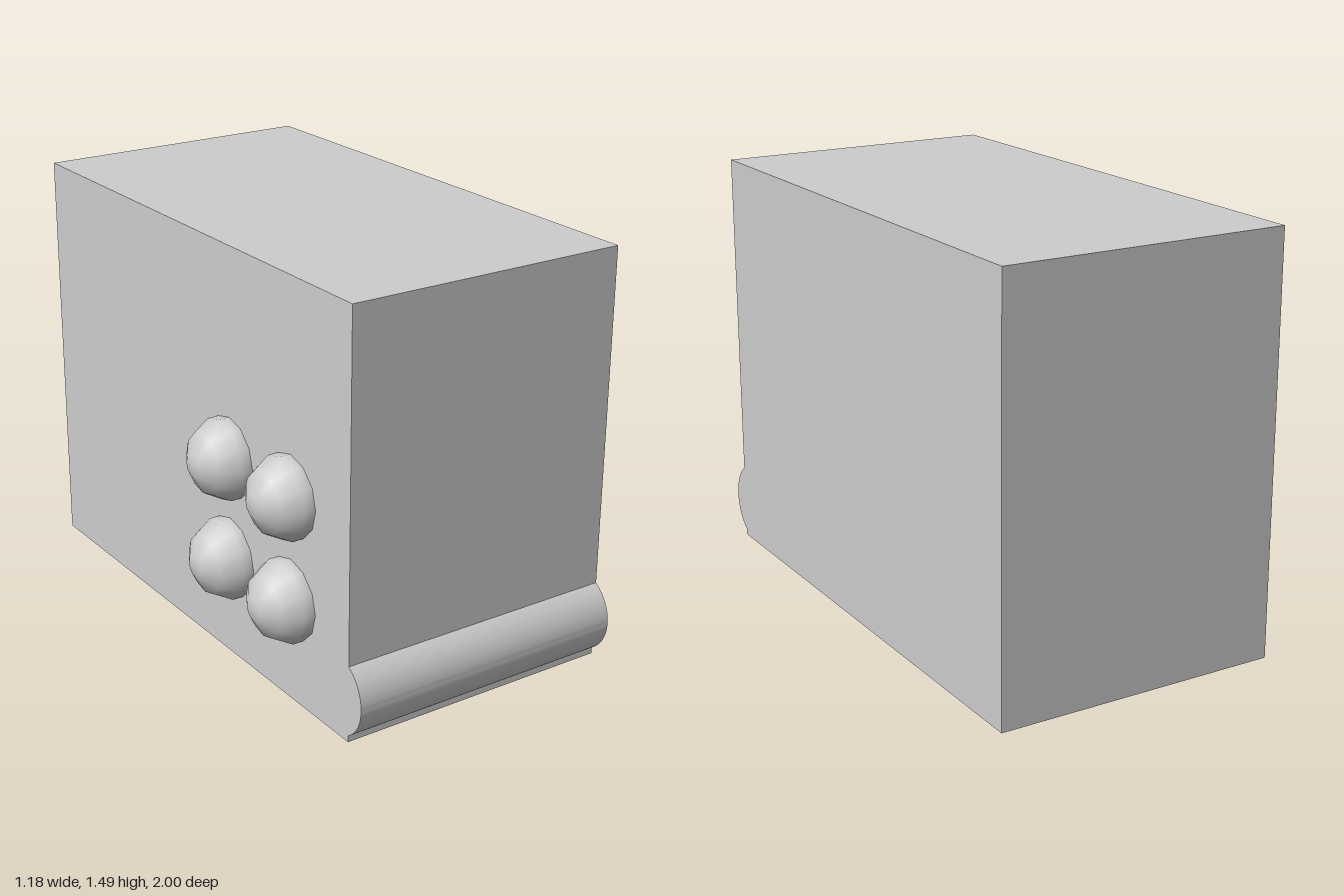
import * as THREE from 'three';
import { toCreasedNormals } from 'three/addons/utils/BufferGeometryUtils.js';

const LEFT = -0.45, RIGHT = 0.59, WIDTH = RIGHT - LEFT;
const BACK = -1, FRONT = 0.93, HEIGHT = 1.49;

export function createModel() {
  const model = new THREE.Group();
  model.name = 'cabinet';
  const grey = new THREE.MeshStandardMaterial({ color: 0xcccccc });
  grey.name = 'light grey';

  const add = (name, geometry, x, y, z) => {
    const mesh = new THREE.Mesh(geometry, grey);
    mesh.name = name;
    mesh.position.set(x, y, z);
    model.add(mesh);
  };

  // Main box
  add('body', new THREE.BoxGeometry(WIDTH, HEIGHT, FRONT - BACK),
    (LEFT + RIGHT) / 2, HEIGHT / 2, (FRONT + BACK) / 2);

  // Rounded bar along the lower front: a circle segment standing out of the box
  const radius = 0.15, centreZ = 0.85;
  const half = Math.acos((FRONT - centreZ) / radius);
  const segment = new THREE.Shape().absarc(0, 0, radius, -half, half, false);
  const bar = new THREE.ExtrudeGeometry(segment, { depth: WIDTH, bevelEnabled: false, curveSegments: 32 });
  bar.rotateY(-Math.PI / 2);
  add('frontBar', toCreasedNormals(bar, Math.PI / 6), RIGHT, radius, centreZ);

  // Four low-poly domes on one side, with a small flat tip
  const profile = [new THREE.Vector2(radius * Math.cos(Math.PI / 12), 0)];
  for (const degrees of [15, 45, 75]) {
    const a = THREE.MathUtils.degToRad(degrees);
    profile.push(new THREE.Vector2(radius * Math.cos(a), radius * Math.sin(a)));
  }
  profile.push(new THREE.Vector2(0, radius * Math.cos(Math.PI / 12)));
  const dome = new THREE.LatheGeometry(profile, 12);
  dome.rotateZ(Math.PI / 2);
  for (const y of [0.373, 0.745]) {
    for (const z of [0.224, 0.596]) add('sideDome', dome, LEFT, y, z);
  }

  return model;
}
